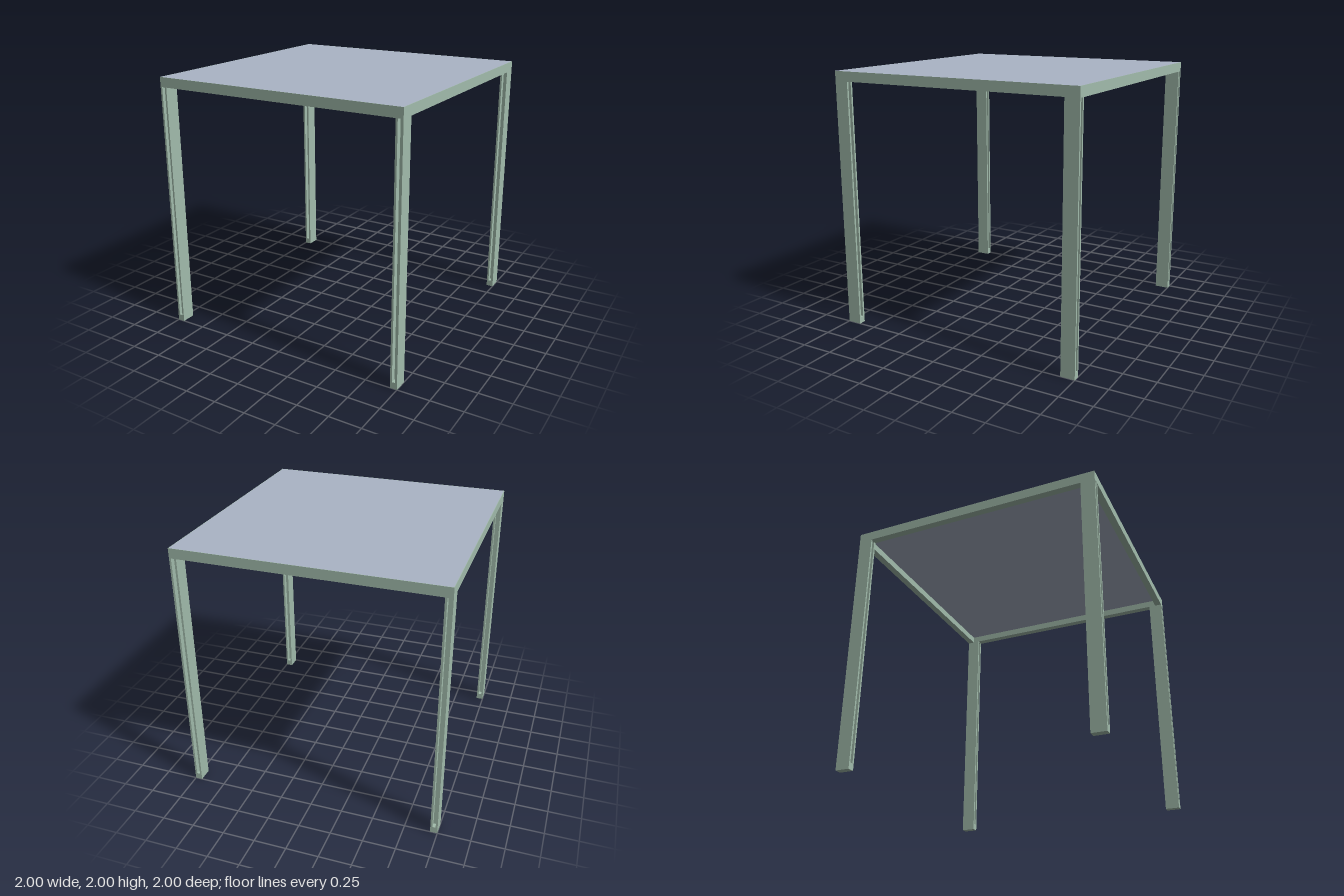
import * as THREE from 'three';

const HALF = 1;            // half width of the table
const RAIL_Y = 1.925;      // underside of the rails
const LEG_W = 0.055, LEG_D = 0.11;
const GROOVE_W = 0.025, GROOVE_D = 0.04, FOOT = 0.05;

const frameMat = new THREE.MeshStandardMaterial({ color: 0xa2bcac });
const panelMat = new THREE.MeshStandardMaterial({ color: 0xaab4c6 });

function addMesh(parent, name, geometry, material, x = 0, y = 0, z = 0) {
  const mesh = new THREE.Mesh(geometry, material);
  mesh.name = name;
  mesh.position.set(x, y, z);
  parent.add(mesh);
  return mesh;
}

function square(Type, h) {
  return new Type([[-h, -h], [h, -h], [h, h], [-h, h]].map(([x, y]) => new THREE.Vector2(x, y)));
}

// Square ring lying flat, from y = 0 up to the given height
function ring(outer, inner, height) {
  const shape = square(THREE.Shape, outer);
  shape.holes.push(square(THREE.Path, inner));
  return new THREE.ExtrudeGeometry(shape, { depth: height, bevelEnabled: false }).rotateX(-Math.PI / 2);
}

// Leg with a long groove in its front and back faces, centred on x and z
function makeLeg() {
  const leg = new THREE.Group();
  const w = LEG_W / 2, g = GROOVE_W / 2;
  const outline = [[-w, 0], [w, 0], [w, RAIL_Y], [g, RAIL_Y], [g, FOOT], [-g, FOOT], [-g, RAIL_Y], [-w, RAIL_Y]];
  const shape = new THREE.Shape(outline.map(([x, y]) => new THREE.Vector2(x, y)));
  const face = new THREE.ExtrudeGeometry(shape, { depth: GROOVE_D, bevelEnabled: false });
  addMesh(leg, 'legGroovedFront', face, frameMat, 0, 0, LEG_D / 2 - GROOVE_D);
  addMesh(leg, 'legGroovedBack', face, frameMat, 0, 0, -LEG_D / 2);
  const core = new THREE.BoxGeometry(LEG_W, RAIL_Y, LEG_D - 2 * GROOVE_D);
  addMesh(leg, 'legCore', core, frameMat, 0, RAIL_Y / 2, 0);
  return leg;
}

export function createModel() {
  const table = new THREE.Group();
  table.name = 'table';

  // Rails under the top and the thin lip that holds the panel
  addMesh(table, 'railFrame', ring(HALF, HALF - LEG_W, 0.055), frameMat, 0, RAIL_Y, 0);
  addMesh(table, 'panelLip', ring(HALF, HALF - 0.004, 0.02), frameMat, 0, 1.98, 0);

  // Table top panel
  const side = 2 * (HALF - 0.004);
  addMesh(table, 'topPanel', new THREE.BoxGeometry(side, 0.02, side), panelMat, 0, 1.99, 0);

  // Four legs flush with the corners
  for (const sx of [-1, 1]) {
    for (const sz of [-1, 1]) {
      const leg = makeLeg();
      leg.name = (sz > 0 ? 'front' : 'back') + (sx > 0 ? 'Left' : 'Right') + 'Leg';
      leg.position.set(sx * (HALF - LEG_W / 2), 0, sz * (HALF - LEG_D / 2));
      table.add(leg);
    }
  }
  return table;
}
